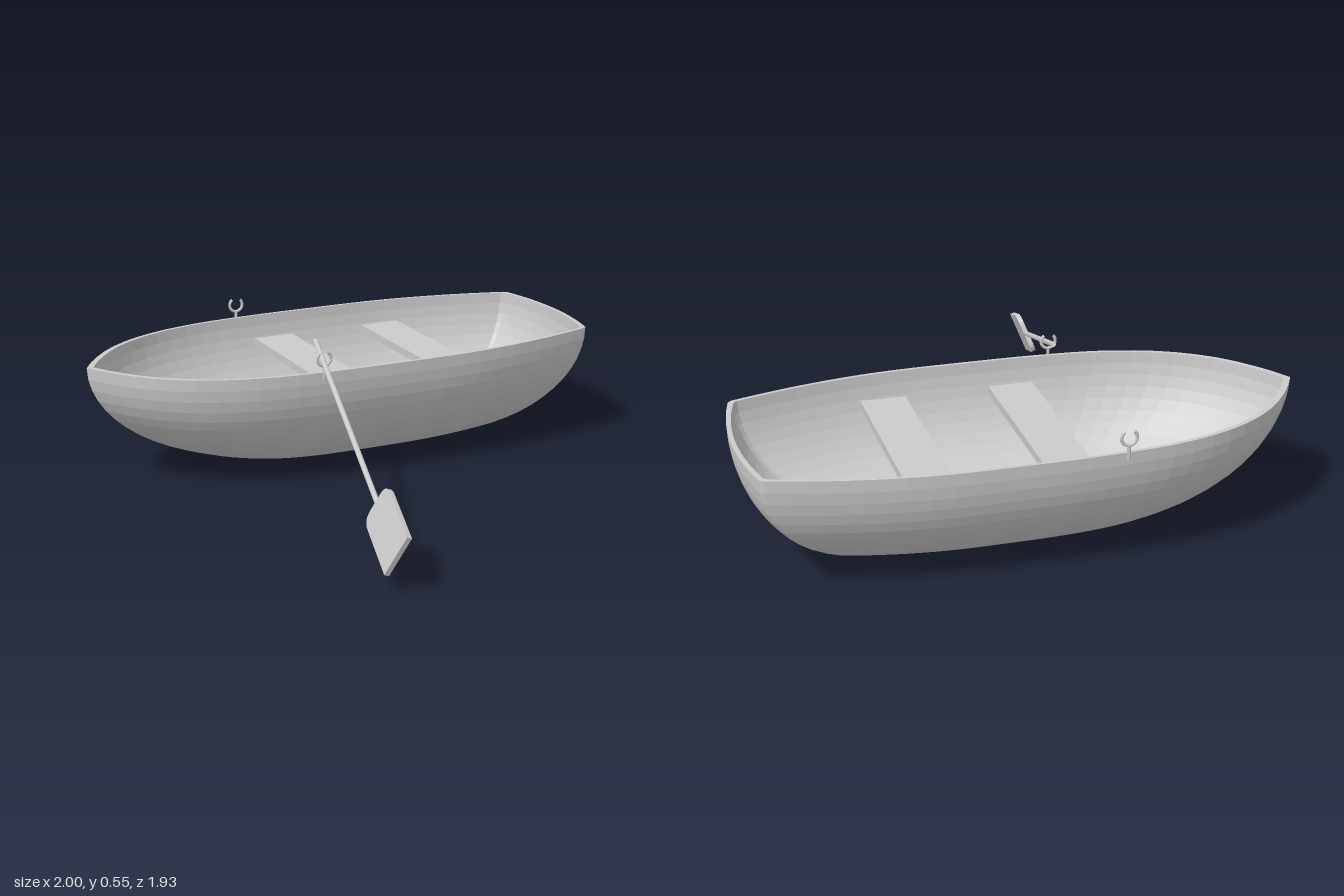
import * as THREE from 'three';

const grey = new THREE.MeshStandardMaterial({ color: 0xcccccc });
const faceted = new THREE.MeshStandardMaterial({ color: 0xcccccc, flatShading: true });

const HEIGHT = 0.455;    // rim height
const CENTRE_Z = -0.52;  // keel line of the boat

function add(parent, name, geometry, material = grey) {
  const mesh = new THREE.Mesh(geometry, material);
  mesh.name = name;
  parent.add(mesh);
  return mesh;
}

// Plan of the rim, counterclockwise from the bow; k is the x where each rib meets the keel
function rimOutline() {
  const side = new THREE.CatmullRomCurve3([
    [-1, 0], [-0.94, 0.1], [-0.82, 0.24], [-0.66, 0.345], [-0.45, 0.413], [-0.21, 0.439],
    [0.085, 0.445], [0.41, 0.438], [0.67, 0.4], [0.89, 0.345], [0.945, 0.328],
  ].map(([x, z]) => new THREE.Vector3(x, 0, z))).getSpacedPoints(28)
    .map((p) => ({ x: p.x, z: p.z, k: -0.15 + 0.5 * (p.x + 1) / 1.945 }));
  const transom = [];
  for (let i = 0; i <= 6; i++) {
    const z = 0.315 * (1 - i / 6);
    const bulge = 1 - (z / 0.315) ** 2;
    transom.push({ x: 0.96 + 0.04 * bulge, z, k: 0.35 + 0.12 * bulge });
  }
  const half = [...side, ...transom];
  const mirrored = half.slice(1, -1).reverse().map((p) => ({ ...p, z: -p.z }));
  return [...half, ...mirrored];
}

// Hull: quarter-round ribs from keel to rim, then back down the inside
function hullGeometry() {
  const outline = rimOutline();
  const n = outline.length, steps = 16;
  const positions = [], index = [];
  const ring = (angle, scale, depth) => {
    for (const p of outline) {
      const c = Math.cos(angle) * scale;
      positions.push(p.k + (p.x - p.k) * c, HEIGHT - depth * Math.sin(angle), CENTRE_Z + p.z * c);
    }
  };
  for (let j = 0; j <= steps; j++) ring((1 - j / steps) * Math.PI / 2, 1, HEIGHT);
  for (let j = 0; j <= steps; j++) ring((j / steps) * Math.PI / 2, 0.97, HEIGHT - 0.015);
  for (let j = 0; j < 2 * steps + 1; j++) {
    for (let i = 0; i < n; i++) {
      const a = j * n + i, b = j * n + (i + 1) % n;
      index.push(a, b, b + n, a, b + n, a + n);
    }
  }
  const geometry = new THREE.BufferGeometry();
  geometry.setAttribute('position', new THREE.Float32BufferAttribute(positions, 3));
  geometry.setIndex(index);
  geometry.computeVertexNormals();
  return geometry;
}

// Oarlock: an open ring on a short pin
function oarlock(name, z) {
  const group = new THREE.Group();
  group.name = name;
  const arc = 1.6 * Math.PI;
  const ring = add(group, 'oarlockRing', new THREE.TorusGeometry(0.027, 0.006, 8, 20, arc));
  ring.rotation.z = -Math.PI / 2 - arc / 2;
  ring.position.y = 0.052;
  add(group, 'oarlockPin', new THREE.CylinderGeometry(0.006, 0.006, 0.05, 10));
  group.position.set(-0.235, HEIGHT, z);
  return group;
}

// Oar: local y runs from handle to blade tip, local x across the blade
function oar() {
  const group = new THREE.Group();
  group.name = 'oar';
  const handle = new THREE.Vector3(-0.215, 0.543, -0.205);
  const tip = new THREE.Vector3(-0.437, 0.137, 0.935);
  const length = handle.distanceTo(tip);
  const along = tip.clone().sub(handle).normalize();
  const across = new THREE.Vector3(0.055, 0.15, 0.06);
  across.addScaledVector(along, -across.dot(along)).normalize();
  const normal = across.clone().cross(along);
  group.quaternion.setFromRotationMatrix(new THREE.Matrix4().makeBasis(across, along, normal));
  group.position.copy(handle);

  const bladeStart = length - 0.275;
  const shaft = add(group, 'oarShaft', new THREE.CylinderGeometry(0.01, 0.01, bladeStart + 0.02, 12));
  shaft.position.y = (bladeStart + 0.02) / 2;

  // Blade: square tip, rounded shoulders
  const w = 0.082, r = 0.045;
  const shape = new THREE.Shape();
  shape.moveTo(-w + r, bladeStart);
  shape.lineTo(w - r, bladeStart);
  shape.quadraticCurveTo(w, bladeStart, w, bladeStart + r);
  shape.lineTo(w, length);
  shape.lineTo(-w, length);
  shape.lineTo(-w, bladeStart + r);
  shape.quadraticCurveTo(-w, bladeStart, -w + r, bladeStart);
  const blade = add(group, 'oarBlade',
    new THREE.ExtrudeGeometry(shape, { depth: 0.018, bevelEnabled: false, curveSegments: 6 }));
  blade.position.z = -0.009;
  return group;
}

export function createModel() {
  const boat = new THREE.Group();
  boat.name = 'rowingBoat';

  add(boat, 'hull', hullGeometry(), faceted);

  // Two bench seats across the hull
  for (const [name, x, width] of [['frontSeat', -0.083, 0.82], ['rearSeat', 0.393, 0.81]]) {
    add(boat, name, new THREE.BoxGeometry(0.165, 0.03, width)).position.set(x, 0.35, CENTRE_Z);
  }

  boat.add(oarlock('leftOarlock', CENTRE_Z + 0.436));
  boat.add(oarlock('rightOarlock', CENTRE_Z - 0.436));
  boat.add(oar());
  return boat;
}
